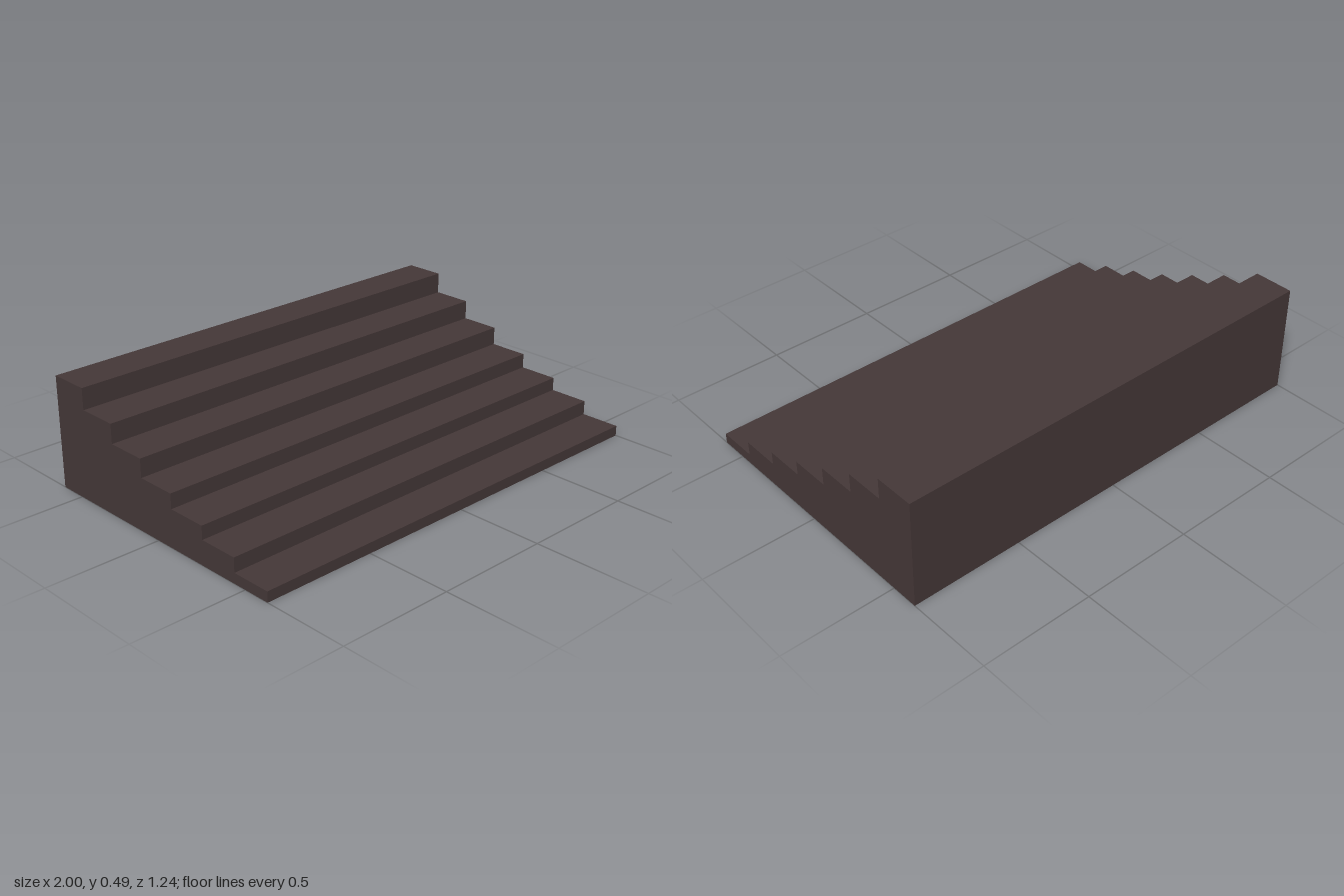
import * as THREE from 'three';

export function createModel() {
  const group = new THREE.Group();
  group.name = 'staircase';

  const darkBrown = new THREE.MeshStandardMaterial({ color: 0x443737 });
  darkBrown.name = 'dark brown';

  // Height of each tread, from the front step to the back one
  const heights = [0.045, 0.107, 0.165, 0.229, 0.309, 0.393, 0.485];
  const width = 2, depth = 1.24;
  const tread = depth / heights.length;

  // Stepped side profile, running from front to back
  const profile = new THREE.Shape();
  profile.moveTo(-depth / 2, 0);
  profile.lineTo(depth / 2, 0);
  for (let i = heights.length - 1; i >= 0; i--) {
    const front = -depth / 2 + i * tread;
    profile.lineTo(front + tread, heights[i]);
    profile.lineTo(front, heights[i]);
  }
  profile.closePath();

  // Solid block of steps, extruded across the width
  const geometry = new THREE.ExtrudeGeometry(profile, { depth: width, bevelEnabled: false });
  geometry.translate(0, 0, -width / 2);
  geometry.rotateY(Math.PI / 2);

  const steps = new THREE.Mesh(geometry, darkBrown);
  steps.name = 'steps';
  group.add(steps);
  return group;
}
